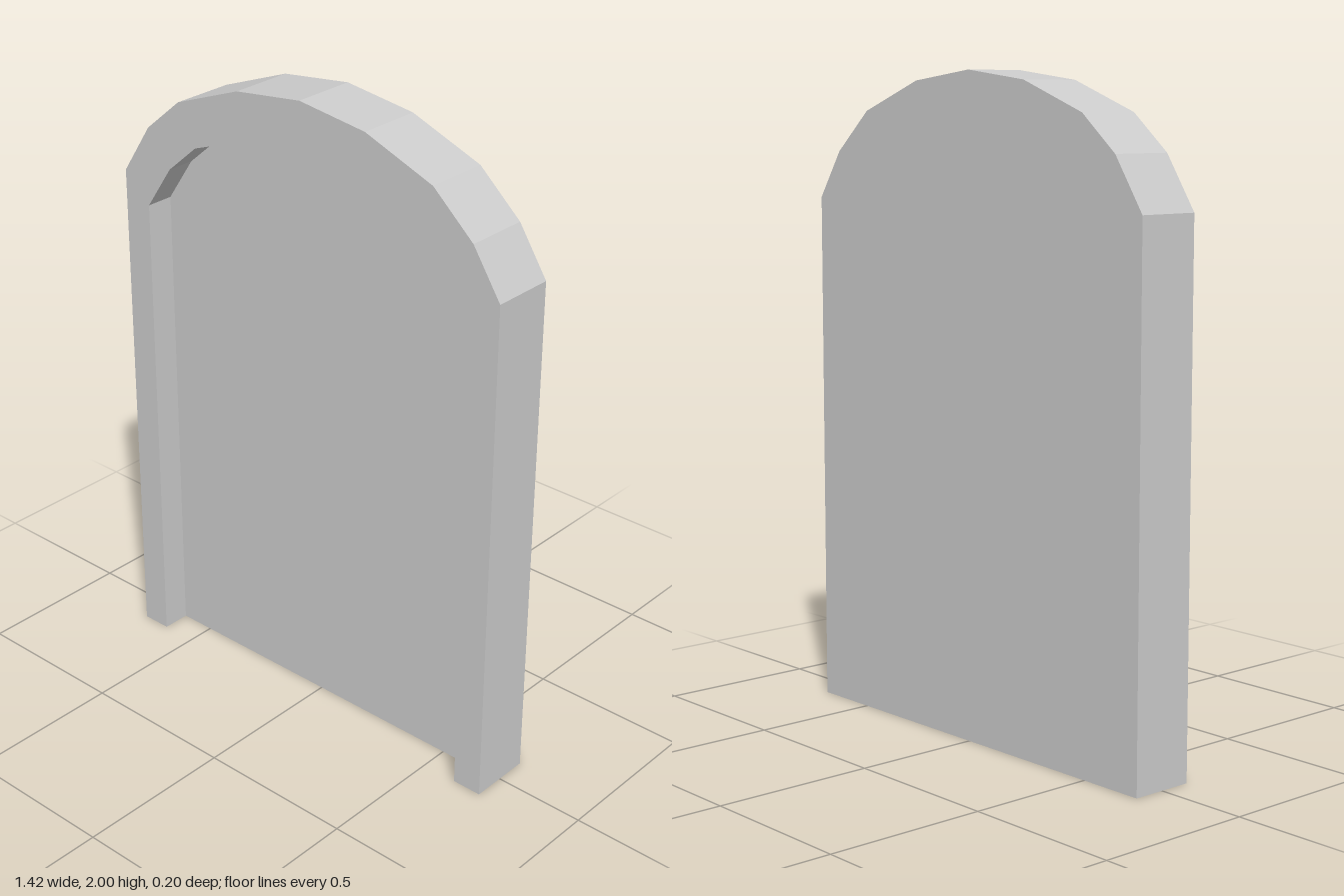
import * as THREE from 'three';

const BACK = -0.1, FRONT = 0.1, PANEL_FRONT = 0.01;

// Arch outlines from the left foot over the crown to the right foot
const outer = [
  [0.71, 0], [0.71, 1.61], [0.615, 1.755], [0.475, 1.88], [0.237, 1.97], [0, 2],
  [-0.237, 1.97], [-0.475, 1.88], [-0.605, 1.77], [-0.71, 1.61], [-0.71, 0],
];
const inner = [
  [0.615, 0], [0.615, 1.52], [0.535, 1.64], [0.41, 1.755], [0.204, 1.83], [0, 1.86],
  [-0.204, 1.83], [-0.41, 1.755], [-0.52, 1.66], [-0.615, 1.52], [-0.615, 0],
];

function slab(name, points, zBack, zFront, material) {
  const shape = new THREE.Shape(points.map(([x, y]) => new THREE.Vector2(x, y)));
  const geometry = new THREE.ExtrudeGeometry(shape, { depth: zFront - zBack, bevelEnabled: false });
  geometry.translate(0, 0, zBack);
  const mesh = new THREE.Mesh(geometry, material);
  mesh.name = name;
  return mesh;
}

export function createModel() {
  const material = new THREE.MeshStandardMaterial({ color: 0xcccccc, flatShading: true });
  const group = new THREE.Group();
  group.name = 'archedPanel';

  // Raised border: outer arch joined to the reversed inner arch, open at the floor
  group.add(slab('archFrame', [...outer, ...[...inner].reverse()], BACK, FRONT, material));

  // Recessed panel filling the arch, flush with the back of the frame
  group.add(slab('recessedPanel', inner, BACK, PANEL_FRONT, material));

  return group;
}
